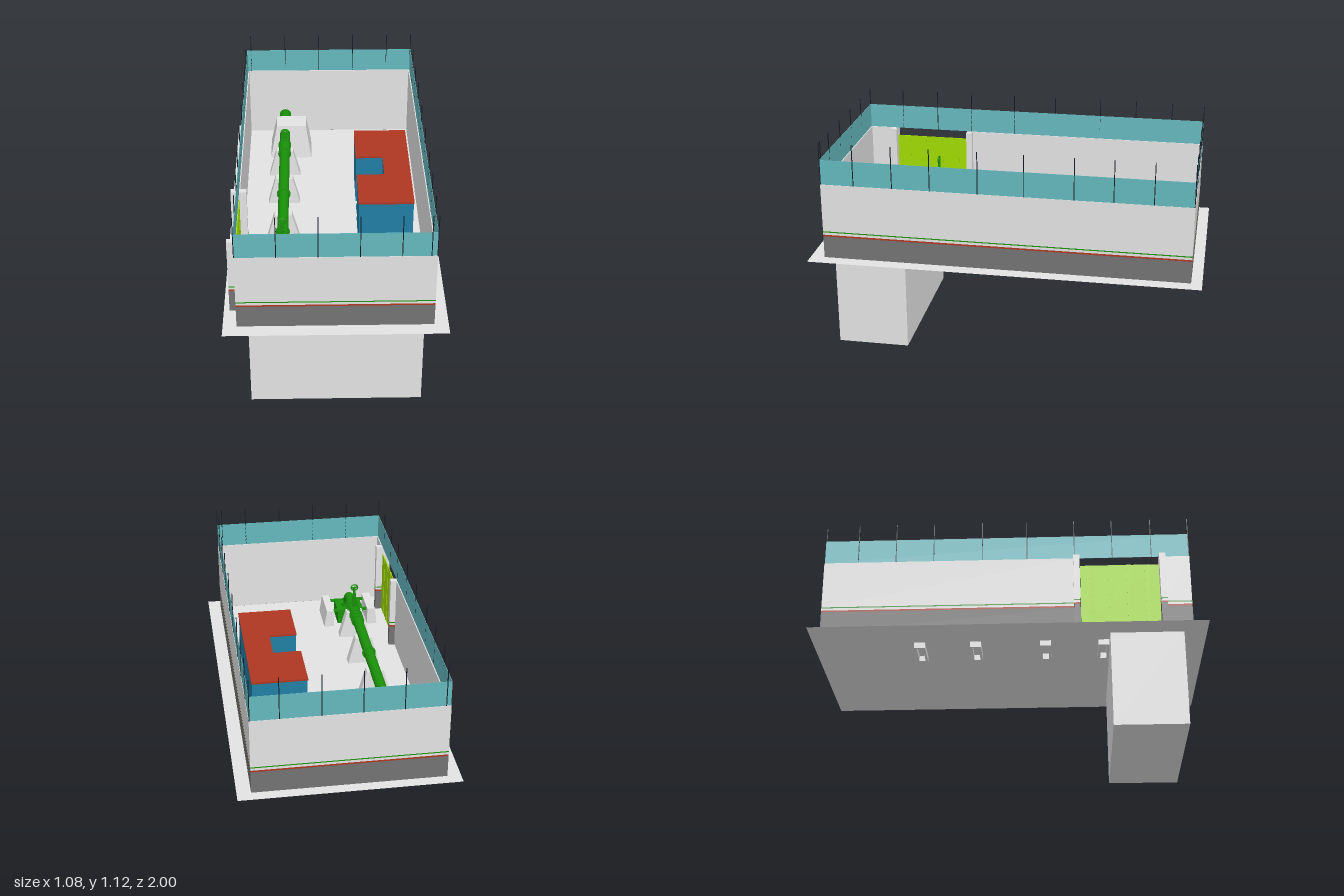
import * as THREE from 'three';

const mat = (name, color) => Object.assign(new THREE.MeshStandardMaterial({ color }), { name });

export function createModel() {
  const concrete = mat('concrete', 0xe3e3e3);
  const darkGrey = mat('darkGrey', 0x737373);
  const red = mat('red', 0xae3722);
  const green = mat('green', 0x1a920a);
  const teal = mat('teal', 0x64b8bd);
  const lime = mat('lime', 0xa0dc00);
  const blue = mat('blue', 0x207ea4);
  const black = mat('black', 0x141a22);
  concrete.side = teal.side = THREE.DoubleSide;

  const root = new THREE.Group();
  root.name = 'pumpStation';
  const group = (name) => {
    const g = new THREE.Group();
    g.name = name;
    root.add(g);
    return g;
  };
  const add = (parent, name, geo, m, x = 0, y = 0, z = 0) => {
    const mesh = new THREE.Mesh(geo, m);
    mesh.name = name;
    mesh.position.set(x, y, z);
    parent.add(mesh);
    return mesh;
  };
  // Box given by its limits
  const box = (parent, name, m, x0, x1, y0, y1, z0, z1) =>
    add(parent, name, new THREE.BoxGeometry(x1 - x0, y1 - y0, z1 - z0), m,
      (x0 + x1) / 2, (y0 + y1) / 2, (z0 + z1) / 2);
  // Box whose top rectangle differs from its bottom; b and t are [x0, x1, z0, z1]
  const taper = (parent, name, m, y0, y1, b, t) => {
    const geo = new THREE.BoxGeometry(1, 1, 1);
    const p = geo.attributes.position;
    for (let i = 0; i < p.count; i++) {
      const up = p.getY(i) > 0, r = up ? t : b;
      p.setXYZ(i, p.getX(i) > 0 ? r[1] : r[0], up ? y1 : y0, p.getZ(i) > 0 ? r[3] : r[2]);
    }
    geo.computeVertexNormals();
    return add(parent, name, geo, m);
  };

  // Ground plate and foundation block; everything above starts at height G
  const G = 0.503;
  const slab = add(root, 'groundPlate', new THREE.PlaneGeometry(1.08, 2), concrete, 0, 0.5, 0);
  slab.rotation.x = -Math.PI / 2;
  box(root, 'foundation', concrete, -0.42, 0.428, 0, 0.498, 0.515, 0.885);

  // Perimeter walls and gate pillars, painted in horizontal bands
  const bands = [[0.5005, 0.617, darkGrey], [0.617, 0.626, red], [0.626, 0.639, concrete],
    [0.639, 0.645, green], [0.645, 0.9, concrete]];
  const banded = (name, x0, x1, z0, z1) => {
    const g = group(name);
    for (const [y0, y1, m] of bands) box(g, name + 'Band', m, x0, x1, y0, y1, z0, z1);
  };
  const W = { l: -0.473, r: 0.471, b: -0.945, f: 0.928 }, T = 0.005, I = 0.009;
  banded('frontWall', W.l, W.r, W.f - T, W.f);
  banded('backWall', W.l, W.r, W.b, W.b + T);
  banded('rightWall', W.r - T, W.r, W.b + T, W.f - T);
  banded('leftWallLong', W.l, W.l + T, W.b + T, 0.337);
  banded('leftWallShort', W.l, W.l + T, 0.803, W.f - T);
  for (const z of [0.352, 0.787]) banded('gatePillar', -0.512, -0.433, z - 0.016, z + 0.016);

  // Unpainted inner faces of the walls
  const lining = group('wallLining');
  box(lining, 'frontLining', concrete, W.l + T, W.r - T, G, 0.9, W.f - I, W.f - T);
  box(lining, 'backLining', concrete, W.l + T, W.r - T, G, 0.9, W.b + T, W.b + I);
  box(lining, 'rightLining', concrete, W.r - I, W.r - T, G, 0.9, W.b + I, W.f - I);
  box(lining, 'leftLiningLong', concrete, W.l + T, W.l + I, G, 0.9, W.b + I, 0.337);
  box(lining, 'leftLiningShort', concrete, W.l + T, W.l + I, G, 0.9, 0.803, W.f - I);

  // Gate with slim upright ribs
  const gate = group('gate');
  box(gate, 'gatePanel', lime, -0.473, -0.469, G, 0.855, 0.37, 0.77);
  for (let i = 0; i < 4; i++) {
    const z = 0.43 + i * 0.0933;
    box(gate, 'gateRib', lime, -0.475, -0.467, G, 0.855, z - 0.012, z + 0.012);
  }

  // Screen above the walls
  const screen = group('screen');
  const s0 = 0.002, s1 = 0.004;
  box(screen, 'screenFront', teal, W.l + s0, W.r - s0, 0.9, 1.03, W.f - s1, W.f - s0);
  box(screen, 'screenBack', teal, W.l + s0, W.r - s0, 0.9, 1.03, W.b + s0, W.b + s1);
  box(screen, 'screenLeft', teal, W.l + s0, W.l + s1, 0.9, 1.03, W.b + s1, W.f - s1);
  box(screen, 'screenRight', teal, W.r - s1, W.r - s0, 0.9, 1.03, W.b + s1, W.f - s1);

  // Posts along all four sides
  const posts = group('posts');
  const post = (x, z) => box(posts, 'post', black, x - 0.002, x + 0.002, 0.9, 1.12, z - 0.002, z + 0.002);
  for (const x of [-0.471, -0.277, -0.082, 0.113, 0.307, 0.442]) post(x, W.f - 0.002);
  for (const x of [-0.449, -0.254, -0.06, 0.135, 0.33, 0.468]) post(x, W.b + 0.002);
  for (const z of [0.926, 0.756, 0.558, 0.365, 0.123, -0.107, -0.357, -0.552, -0.748]) post(W.r - 0.002, z);
  for (const z of [0.735, 0.536, 0.343, 0.1, -0.13, -0.38, -0.575, -0.77]) post(W.l + 0.002, z);

  // Building: U-shaped plan with a porch in the notch
  const house = group('building');
  const plan = (i, y0, y1, name, m) => {
    const pts = [[0.128 + i, -0.43 + i], [0.412 - i, -0.43 + i], [0.412 - i, 0.303 - i], [0.128 + i, 0.303 - i],
      [0.128 + i, 0.03 + i], [0.272 + i, 0.03 + i], [0.272 + i, -0.15 - i], [0.128 + i, -0.15 - i]];
    const s = new THREE.Shape(pts.map(([x, z]) => new THREE.Vector2(x, -z)));
    const geo = new THREE.ExtrudeGeometry(s, { depth: y1 - y0, bevelEnabled: false });
    geo.rotateX(-Math.PI / 2);
    add(house, name, geo, m, 0, y0, 0);
  };
  plan(0.003, G, 0.777, 'buildingWalls', blue);
  plan(0, 0.777, 0.787, 'roof', red);
  box(house, 'porch', blue, 0.165, 0.275, G, 0.66, -0.13, 0.005);
  box(house, 'porchLid', blue, 0.157, 0.24, 0.66, 0.672, -0.142, 0.015);
  box(house, 'porchDoor', black, 0.161, 0.165, G, 0.62, -0.095, -0.03);
  for (let i = 0; i < 3; i++)
    box(house, 'step', blue, 0.132, 0.161, G, 0.52 + i * 0.012, -0.1 + i * 0.026, -0.078 + i * 0.026);

  // Main pipe, running level then bending down at the front
  const PX = -0.257, PY = 0.655, R = 0.028;
  const pipe = group('pipeline');
  const path = new THREE.CurvePath();
  const v = (y, z) => new THREE.Vector3(PX, y, z);
  path.add(new THREE.LineCurve3(v(PY, -0.85), v(PY, 0.63)));
  path.add(new THREE.QuadraticBezierCurve3(v(PY, 0.63), v(PY, 0.69), v(PY - 0.06, 0.69)));
  path.add(new THREE.LineCurve3(v(PY - 0.06, 0.69), v(G, 0.69)));
  add(pipe, 'mainPipe', new THREE.TubeGeometry(path, 120, R, 20), green);
  const disc = (name, z, r, len) => {
    const d = add(pipe, name, new THREE.CylinderGeometry(r, r, len, 20), green, PX, PY, z);
    d.rotation.x = Math.PI / 2;
  };
  disc('endFlange', -0.853, 0.033, 0.014);
  for (const z of [-0.505, -0.41, 0.005, 0.36, 0.395, 0.43, 0.49, 0.52, 0.56]) disc('flange', z, 0.036, 0.009);
  disc('coupling', -0.455, 0.032, 0.06);

  // Valves: stem with an upright handwheel
  const valve = (z, top, r) => {
    add(pipe, 'valveStem', new THREE.CylinderGeometry(0.007, 0.011, top - PY, 10), green, PX, (top + PY) / 2, z);
    add(pipe, 'handwheel', new THREE.TorusGeometry(r, 0.004, 6, 16), green, PX, top, z);
    box(pipe, 'wheelSpoke', green, PX - r, PX + r, top - 0.003, top + 0.003, z - 0.003, z + 0.003);
  };
  valve(0.485, 0.8, 0.018);
  valve(-0.53, 0.715, 0.012);

  // Rear anchor block with a sloping back
  const blocks = group('concreteBlocks');
  taper(blocks, 'anchorBlock', concrete, G, 0.7, [-0.34, -0.108, -0.83, -0.62], [-0.303, -0.138, -0.755, -0.64]);

  // Pipe saddles, with hollow footings below the plate
  for (const z of [-0.454, -0.168, 0.187, 0.484]) {
    const a = z - 0.028, b = z + 0.028;
    taper(blocks, 'pipeSaddle', concrete, G, 0.655, [-0.342, -0.172, a, b], [-0.302, -0.212, a + 0.005, b - 0.005]);
    const corners = (k) => [[-0.342 + k, a + k], [-0.172 - k, a + k], [-0.172 - k, b - k], [-0.342 + k, b - k]]
      .map((p) => new THREE.Vector2(...p));
    const s = new THREE.Shape(corners(0));
    s.holes.push(new THREE.Path(corners(0.012)));
    const geo = new THREE.ExtrudeGeometry(s, { depth: 0.03, bevelEnabled: false });
    geo.rotateX(Math.PI / 2);
    add(blocks, 'saddleFooting', geo, concrete, 0, 0.5, 0);
  }

  // Front pump bed between two side blocks
  taper(blocks, 'pumpSideLeft', concrete, G, 0.6, [-0.408, -0.353, 0.592, 0.792], [-0.398, -0.353, 0.592, 0.792]);
  taper(blocks, 'pumpSideRight', concrete, G, 0.6, [-0.158, -0.103, 0.592, 0.792], [-0.158, -0.118, 0.592, 0.792]);
  const pump = group('pumpBed');
  box(pump, 'pumpPlate', green, -0.333, -0.186, G, 0.585, 0.62, 0.765);
  for (const z of [0.632, 0.755]) box(pump, 'crossBar', green, -0.357, -0.153, 0.575, 0.59, z - 0.006, z + 0.006);
  add(pump, 'pumpCollar', new THREE.CylinderGeometry(0.038, 0.038, 0.012, 20), green, PX, 0.591, 0.69);

  return root;
}
